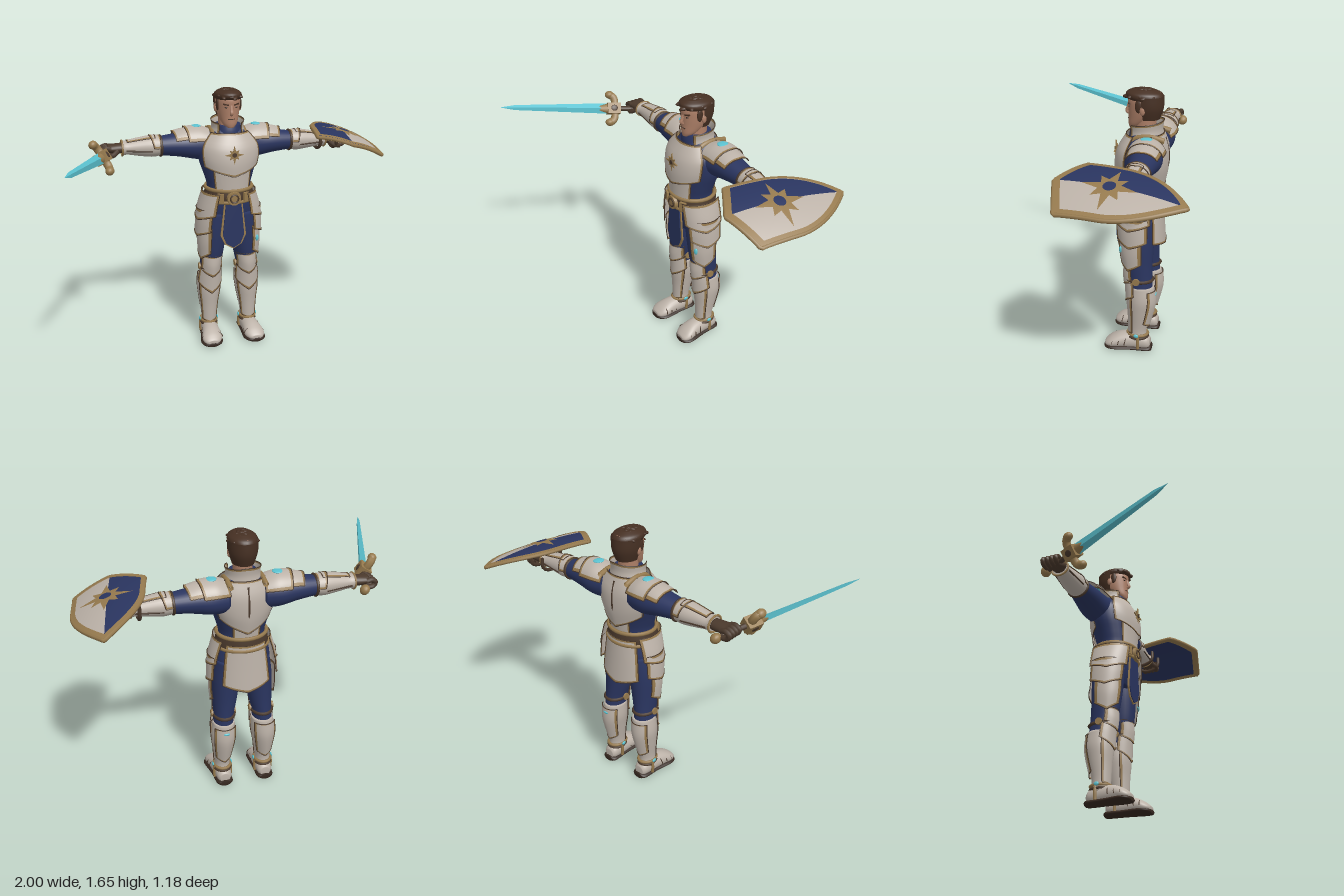
import * as THREE from 'three';

const paint = (name, color) => Object.assign(
  new THREE.MeshStandardMaterial({ color, side: THREE.DoubleSide }), { name });
const M = {
  steel: paint('pale steel', 0xbcb2a8), blue: paint('navy cloth', 0x2a3560),
  gold: paint('old gold', 0x967a4e), leather: paint('brown leather', 0x4a392c),
  skin: paint('skin', 0xae8068), hair: paint('brown hair', 0x463023),
  cyan: paint('cyan glass', 0x5cc2d0), dark: paint('dark sole', 0x362820),
};
const TAU = Math.PI * 2;

function add(parent, name, geo, mat, pos = [0, 0, 0], rot = [0, 0, 0], scale = [1, 1, 1]) {
  const mesh = new THREE.Mesh(geo, mat);
  mesh.name = name;
  mesh.position.set(...pos);
  mesh.rotation.set(...rot);
  mesh.scale.set(...scale);
  parent.add(mesh);
}
function group(parent, name) {
  const g = new THREE.Group();
  g.name = name;
  parent.add(g);
  return g;
}

// Smooth value of the rows [y, cx, cz, rx, rz] at t = 0..1
function sample(rows, t) {
  const f = t * (rows.length - 1), i = Math.min(Math.floor(f), rows.length - 2), u = f - i;
  const r = k => rows[THREE.MathUtils.clamp(i + k, 0, rows.length - 1)];
  const [p, q, v, w] = [r(-1), r(0), r(1), r(2)];
  return q.map((b, j) => b + 0.5 * u * (v[j] - p[j] + u * (2 * p[j] - 5 * b + 4 * v[j] - w[j]
    + u * (3 * (b - v[j]) + w[j] - p[j]))));
}
// Grid surface from a point rule; outermost cells (sized es, et) form a second material group
function gridGeo(point, n, m, wrap, [es, et] = [1 / n, 1 / m]) {
  const pos = [], inner = [], border = [], w = wrap ? n : n + 1;
  const at = (i, c, e) => i === 0 ? 0 : i === c ? 1 : e + (1 - 2 * e) * (i - 1) / (c - 2);
  for (let j = 0; j <= m; j++) for (let i = 0; i < w; i++) pos.push(...point(at(i, n, es), at(j, m, et)));
  for (let j = 0; j < m; j++) for (let i = 0; i < n; i++) {
    const a = j * w + i, b = j * w + (i + 1) % w;
    (i % (n - 1) && j % (m - 1) ? inner : border).push(a, b, a + w, b, b + w, a + w);
  }
  const g = new THREE.BufferGeometry();
  g.setAttribute('position', new THREE.Float32BufferAttribute(pos, 3));
  g.setIndex([...inner, ...border]);
  g.addGroup(0, inner.length, 0);
  g.addGroup(inner.length, border.length, 1);
  g.computeVertexNormals();
  return g;
}
// Closed body of elliptical sections, ends pinched shut
function loft(parent, name, rows, mat, rot) {
  const m = rows.length * 4;
  const point = (s, t) => {
    const k = t === 0 || t === 1 ? 0.001 : 1;
    const [y, cx, cz, rx, rz] = sample(rows, THREE.MathUtils.clamp((t * (m + 2) - 1) / m, 0, 1));
    return [cx + k * rx * Math.sin(s * TAU), y, cz + k * rz * Math.cos(s * TAU)];
  };
  add(parent, name, gridGeo(point, 28, m + 2, true), mat, [0, 0, 0], rot);
}
// Curved armour plate over the arc a0..a1 (0 = front), pointed end, gold border and dark edge
function plate(parent, name, rows, a0, a1, drop = 0, width = .018, mat = M.steel, trim = M.gold) {
  const point = (s, t) => {
    const [y, cx, cz, rx, rz] = sample(rows, t), a = a0 + (a1 - a0) * s;
    return [cx + rx * Math.sin(a), y - drop * t * (1 - Math.abs(2 * s - 1)), cz + rz * Math.cos(a)];
  };
  const last = rows[rows.length - 1];
  const share = [width / ((a1 - a0) * last[3]), width / (Math.abs(rows[0][0] - last[0]) + Math.abs(drop) / 2)];
  add(parent, name, gridGeo(point, 26, 12, false, share), [mat, trim]);
  if (mat === trim) return;
  const edge = [];
  for (const [s0, t0, ds, dt] of [[0, 0, 1, 0], [1, 0, 0, 1], [1, 1, -1, 0], [0, 1, 0, -1]])
    for (let k = 0; k < 12; k++) edge.push(new THREE.Vector3(...point(s0 + ds * k / 12, t0 + dt * k / 12)));
  add(parent, name + 'Edge', new THREE.TubeGeometry(new THREE.CatmullRomCurve3(edge, true), 96, .003, 5, true), M.leather);
}
const band = (parent, name, y, cx, cz, rx, rz, mat, r = 0.009) =>
  add(parent, name, new THREE.TorusGeometry(1, r / rx, 6, 28), mat, [cx, y, cz], [Math.PI / 2, 0, 0], [rx, rz, rx]);
const ball = (parent, name, mat, pos, scale, rot) =>
  add(parent, name, new THREE.SphereGeometry(1, 14, 10), mat, pos, rot, scale);
const tube = (parent, name, pts, r, mat) => add(parent, name, new THREE.TubeGeometry(
  new THREE.CatmullRomCurve3(pts.map(p => new THREE.Vector3(...p))), 14, r, 7), mat);
// Eight-pointed star outline, long points on the axes
const starPoints = R => Array.from({ length: 16 }, (_, i) => {
  const r = i % 2 ? R * 0.4 : i % 4 ? R * 0.7 : R;
  return new THREE.Vector2(r * Math.sin(i * TAU / 16), r * Math.cos(i * TAU / 16));
});
const flat = (pts, depth) => new THREE.ExtrudeGeometry(new THREE.Shape(pts), { depth, bevelEnabled: false });

function buildHead(body) {
  const head = group(body, 'head');
  loft(head, 'neck', [[1.36, 0, -.205, .06, .07], [1.42, 0, -.205, .056, .062], [1.49, 0, -.21, .056, .06]], M.skin);
  loft(head, 'face', [[1.422, 0, -.135, .024, .026], [1.445, 0, -.155, .046, .05], [1.49, 0, -.185, .063, .08],
    [1.54, 0, -.197, .072, .094], [1.59, 0, -.2, .074, .098], [1.63, 0, -.205, .06, .085]], M.skin);
  tube(head, 'nose', [[0, 1.557, -.108], [0, 1.53, -.1], [0, 1.512, -.094], [0, 1.503, -.108]], .011, M.skin);
  add(head, 'mouth', new THREE.BoxGeometry(.042, .005, .008), M.leather, [0, 1.475, -.109]);
  for (const s of [-1, 1]) {
    ball(head, 'eye', M.dark, [s * .029, 1.547, -.114], [.011, .005, .006]);
    add(head, 'brow', new THREE.BoxGeometry(.036, .008, .012), M.hair, [s * .031, 1.564, -.114], [0, s * .3, s * .15]);
    ball(head, 'ear', M.skin, [s * .077, 1.535, -.2], [.01, .026, .016]);
    ball(head, 'sideburn', M.hair, [s * .07, 1.56, -.175], [.01, .04, .02]);
  }
  loft(head, 'hairTop', [[1.59, 0, -.205, .08, .1], [1.608, 0, -.198, .084, .109],
    [1.628, 0, -.192, .076, .1], [1.645, 0, -.188, .045, .065]], M.hair);
  plate(head, 'hairBack', [[1.61, 0, -.205, .086, .104], [1.54, 0, -.208, .082, .1], [1.475, 0, -.21, .062, .076]],
    1.45, TAU - 1.45, 0, .01, M.hair, M.hair);
  // swept tufts
  for (let i = 0; i < 44; i++) {
    const a = i * 2.4, k = Math.sqrt(i / 44);
    ball(head, 'hairTuft', M.hair, [.078 * k * Math.sin(a), 1.643 - .042 * k * k, -.19 + .102 * k * Math.cos(a)],
      [.014, .011, .024], [.2, a * .4, 0]);
  }
}

function buildTorso(body) {
  const t = group(body, 'torso');
  loft(t, 'undersuit', [[1.42, 0, -.21, .075, .08], [1.38, 0, -.215, .13, .1], [1.31, 0, -.205, .185, .135],
    [1.22, 0, -.2, .186, .14], [1.12, 0, -.185, .156, .124], [1.04, 0, -.18, .138, .115],
    [.95, 0, -.185, .158, .12], [.86, 0, -.195, .165, .115], [.79, 0, -.195, .12, .09]], M.blue);
  plate(t, 'abdomenPlate', [[1.22, 0, -.19, .17, .15], [1.12, 0, -.185, .158, .14], [1.03, 0, -.18, .146, .132]], -.8, .8, 0, .011);
  plate(t, 'breastplate', [[1.39, 0, -.205, .13, .11], [1.32, 0, -.2, .19, .155], [1.25, 0, -.195, .198, .168],
    [1.19, 0, -.19, .186, .162]], -1.1, 1.1, .055, .013);
  plate(t, 'backplate', [[1.4, 0, -.215, .13, .1], [1.33, 0, -.205, .19, .14], [1.24, 0, -.2, .19, .145],
    [1.17, 0, -.19, .17, .137]], Math.PI - 1.1, Math.PI + 1.1, .09, .013);
  plate(t, 'lowerBackplate', [[1.15, 0, -.19, .16, .13], [1.03, 0, -.18, .145, .124]], Math.PI - .55, Math.PI + .55, 0, .011);
  tube(t, 'spineRidge', [[0, 1.37, -.322], [0, 1.26, -.346], [0, 1.09, -.32]], .007, M.leather);
  add(t, 'chestStar', flat(starPoints(.058), .007), M.gold, [0, 1.272, -.034]);
  add(t, 'chestStarCentre', new THREE.CylinderGeometry(.014, .014, .005, 16), M.leather, [0, 1.272, -.026], [Math.PI / 2, 0, 0]);
  // collar
  loft(t, 'innerCollar', [[1.36, 0, -.21, .1, .1], [1.4, 0, -.208, .086, .094], [1.43, 0, -.208, .08, .086]], M.blue);
  plate(t, 'collar', [[1.37, 0, -.21, .112, .105], [1.41, 0, -.208, .1, .1], [1.445, 0, -.208, .102, .106]],
    .75, TAU - .75, -.03, .014);
  // belt and buckle
  loft(t, 'belt', [[1.04, 0, -.18, .148, .135], [1.0, 0, -.18, .156, .14], [.965, 0, -.182, .16, .138]], M.leather);
  band(t, 'beltUpperTrim', 1.04, 0, -.18, .148, .135, M.gold, .012);
  band(t, 'beltLowerTrim', .966, 0, -.182, .16, .138, M.gold, .011);
  add(t, 'buckle', new THREE.CylinderGeometry(.042, .046, .02, 24), M.gold, [0, .995, -.038], [Math.PI / 2, 0, 0]);
  add(t, 'buckleRing', new THREE.TorusGeometry(.025, .005, 6, 20), M.leather, [0, .995, -.028]);
  for (const s of [-1, 1])
    add(t, 'beltStud', new THREE.BoxGeometry(.04, .055, .02), M.gold, [s * .08, .997, -.058], [0, s * .4, 0]);
  // hanging cloth and rear skirt
  const cloth = k => [[-.052 * k, .97], [.052 * k, .97], [.075 * k, .75], [.05 * k, .7 - k * .01], [0, .69 - k * .03],
    [-.05 * k, .7 - k * .01], [-.075 * k, .75]].map(p => new THREE.Vector2(...p));
  add(t, 'tabardBorder', flat(cloth(1.1), .008), M.gold, [0, 0, -.064]);
  add(t, 'tabard', flat(cloth(.92), .012), M.blue, [0, .003, -.062]);
  plate(t, 'rearSkirt', [[1.0, 0, -.185, .155, .135], [.86, 0, -.19, .175, .14], [.74, 0, -.19, .19, .15]],
    Math.PI - .85, Math.PI + .85, .04);
}

function buildArm(side, droop) {
  const arm = group(side, 'arm');
  arm.position.set(0, 1.305, -.25);
  arm.rotation.z = -Math.PI / 2 - droop;
  const up = -Math.PI / 2;
  loft(arm, 'sleeve', [[.1, .01, .02, .095, .1], [.2, .005, 0, .09, .095], [.3, 0, 0, .074, .084], [.42, 0, 0, .058, .064]], M.blue);
  plate(arm, 'lowerPauldron', [[.22, 0, 0, .108, .108], [.28, 0, 0, .1, .104], [.325, 0, 0, .088, .098]], up - 1.1, up + 1.1, -.02);
  plate(arm, 'upperPauldron', [[.1, 0, .01, .09, .104], [.17, 0, 0, .114, .114], [.25, 0, 0, .112, .112]], up - 1.25, up + 1.25, -.02);
  tube(arm, 'shoulderStrap', [[-.02, .1, .115], [-.075, .1, .085], [-.092, .1, 0], [-.075, .1, -.085]], .016, M.gold);
  ball(arm, 'shoulderGem', M.cyan, [-.111, .19, 0], [.007, .031, .034]);
  // forearm guard
  loft(arm, 'vambrace', [[.42, 0, 0, .06, .064], [.47, 0, 0, .065, .068], [.55, 0, 0, .054, .058],
    [.62, 0, 0, .042, .05], [.65, 0, 0, .048, .056]], M.steel);
  plate(arm, 'vambraceRidge', [[.45, 0, 0, .069, .071], [.5, 0, 0, .066, .068], [.62, 0, 0, .047, .054]], up - .6, up + .6, 0, .01);
  plate(arm, 'elbowGuard', [[.415, 0, 0, .066, .07], [.46, 0, 0, .07, .073]], up - 1.6, up + 1.6, -.025, .013);
  for (const s of [-1, 1])
    tube(arm, 'vambraceSeam', [[.02, .47, s * .064], [.015, .55, s * .056], [.01, .63, s * .05]], .005, M.leather);
  band(arm, 'elbowStrap', .415, 0, 0, .06, .066, M.leather);
  band(arm, 'wristTrim', .65, 0, 0, .046, .054, M.gold, .006);
  // gloved fist
  loft(arm, 'palm', [[.65, 0, 0, .03, .04], [.69, 0, 0, .03, .045], [.74, -.004, 0, .024, .05]], M.leather);
  for (let i = 0; i < 4; i++) {
    const z = -.042 + i * .028;
    tube(arm, 'finger', [[-.004, .72, z], [-.01, .75, z], [.008, .777, z], [.03, .762, z], [.034, .725, z]], .0155, M.leather);
  }
  tube(arm, 'thumb', [[.01, .68, .04], [.03, .71, .06], [.038, .75, .045]], .015, M.leather);
}

function buildLeg(side) {
  const leg = group(side, 'leg');
  loft(leg, 'trouser', [[.88, .085, -.19, .08, .105], [.75, .098, -.19, .085, .1], [.6, .11, -.195, .074, .09],
    [.5, .12, -.207, .062, .08], [.42, .125, -.215, .062, .078]], M.blue);
  plate(leg, 'cuisse', [[.79, .1, -.185, .102, .108], [.7, .106, -.185, .1, .106], [.62, .11, -.19, .088, .098]], .3, 2.0, .05);
  plate(leg, 'lowerTasset', [[.91, .075, -.185, .132, .128], [.83, .085, -.187, .13, .128], [.77, .09, -.19, .128, .124]], .4, 2.2, .04);
  plate(leg, 'upperTasset', [[1.022, .055, -.182, .114, .143], [.94, .065, -.183, .134, .14], [.88, .07, -.185, .145, .138]], .3, 2.3, .04);
  // lower leg
  loft(leg, 'greave', [[.45, .122, -.22, .066, .078], [.36, .127, -.225, .074, .085], [.27, .13, -.217, .064, .074],
    [.15, .132, -.205, .048, .056], [.08, .134, -.205, .05, .06]], M.steel);
  plate(leg, 'shinPlate', [[.42, .125, -.215, .077, .083], [.34, .128, -.215, .077, .084], [.24, .131, -.21, .062, .07],
    [.13, .133, -.205, .052, .061]], -1.1, 1.1, .015, .011);
  plate(leg, 'calfPlate', [[.43, .125, -.222, .076, .088], [.34, .128, -.224, .077, .09], [.2, .132, -.21, .057, .068]],
    Math.PI - 1, Math.PI + 1, .03, .011);
  plate(leg, 'lowerKneePlate', [[.5, .12, -.205, .07, .09], [.45, .123, -.208, .077, .088], [.4, .125, -.212, .081, .088]], -1.3, 1.3, .07, .014);
  plate(leg, 'kneePlate', [[.59, .112, -.195, .072, .086], [.54, .117, -.2, .07, .096], [.49, .12, -.205, .07, .094]], -1.2, 1.2, .04, .014);
  band(leg, 'kneeStrap', .495, .12, -.207, .063, .08, M.leather, .011);
  for (const s of [-1, 1]) {
    add(leg, 'kneeDisc', new THREE.CylinderGeometry(.022, .022, .012, 16), M.gold, [.12 + s * .071, .5, -.2], [0, 0, Math.PI / 2]);
    tube(leg, 'heelStrap', [[.133 + s * .051, .11, -.215], [.133 + s * .054, .07, -.215], [.133 + s * .051, .025, -.215]], .01, M.gold);
    ball(leg, 'ankleGem', M.cyan, [.133 + s * .059, .118, -.205], [.006, .012, .016]);
  }
  band(leg, 'ankleTrim', .115, .133, -.205, .051, .062, M.gold, .009);
  band(leg, 'ankleStrap', .095, .133, -.205, .051, .062, M.leather, .008);
  // boot, lengthwise along z
  const lay = [Math.PI / 2, 0, 0];
  loft(leg, 'boot', [[-.285, .132, -.05, .03, .03], [-.262, .132, -.056, .046, .048], [-.2, .133, -.06, .052, .058],
    [-.11, .138, -.056, .059, .054], [-.05, .143, -.045, .065, .04], [-.015, .146, -.036, .05, .024],
    [-.002, .147, -.033, .03, .013]], M.steel, lay);
  loft(leg, 'sole', [[-.295, .132, -.017, .034, .017], [-.27, .132, -.018, .053, .018], [-.17, .136, -.018, .058, .018],
    [-.06, .143, -.018, .073, .018], [-.015, .146, -.016, .057, .016], [.003, .147, -.015, .03, .011]], M.dark, lay);
  for (const [z, w, h] of [[-.13, .059, .06], [-.09, .063, .05], [-.052, .066, .041]])
    add(leg, 'bootLame', new THREE.TorusGeometry(1, .05, 5, 20, Math.PI), M.leather, [.14, .045, z], [-.2, 0, 0], [w, h, .06]);
}

// Sword built upward from the pommel, then aimed at its tip
function buildSword(root) {
  const sword = group(root, 'sword');
  const start = new THREE.Vector3(-.67, 1.265, -.31), end = new THREE.Vector3(-.995, 1.382, .58);
  const dir = end.clone().sub(start), L = dir.length();
  sword.position.copy(start);
  sword.quaternion.setFromUnitVectors(new THREE.Vector3(0, 1, 0), dir.normalize());
  sword.rotateY(.22);
  const diamond = (a, b, h) => {
    const g = new THREE.CylinderGeometry(a, b, h, 4).toNonIndexed();
    g.computeVertexNormals();
    return g;
  };
  add(sword, 'blade', diamond(.016, .034, L - .36), M.cyan, [0, .27 + (L - .36) / 2, 0], [0, 0, 0], [.55, 1, 1]);
  add(sword, 'bladeTip', diamond(.0005, .016, .09), M.cyan, [0, L - .045, 0], [0, 0, 0], [.55, 1, 1]);
  add(sword, 'grip', new THREE.CylinderGeometry(.016, .016, .21, 12), M.leather, [0, .11, 0]);
  ball(sword, 'pommel', M.gold, [0, 0, 0], [.028, .032, .032]);
  add(sword, 'guardBlock', new THREE.BoxGeometry(.075, .085, .07), M.gold, [0, .225, 0]);
  add(sword, 'guardCollar', new THREE.CylinderGeometry(.02, .034, .06, 8), M.gold, [0, .29, 0], [0, 0, 0], [.8, 1, 1]);
  for (const s of [-1, 1]) {
    tube(sword, 'guardArm', [[0, .22, 0], [0, .215, s * .045], [0, .225, s * .075], [0, .25, s * .09]], .025, M.gold);
    ball(sword, 'guardEnd', M.gold, [0, .25, s * .09], [.027, .03, .025]);
    ball(sword, 'guardInlay', M.leather, [s * .037, .225, 0], [.005, .022, .02]);
  }
}

// Domed shield: u runs across, v along its length
function buildShield(root) {
  const shield = group(root, 'shield');
  const place = (u, v, lift) => {
    const x = .8 + .986 * u - .164 * v, z = -.23 + .164 * u + .986 * v;
    return [x, 1.368 - .3 * (x - .58) + .04 * (1 - (u / .21) ** 2) - .03 * (v / .365) ** 2 + lift, z];
  };
  const half = new THREE.Path();
  half.moveTo(0, -.36);
  half.bezierCurveTo(.12, -.24, .185, -.11, .196, .02);
  half.lineTo(.204, .262);
  half.lineTo(0, .358);
  const right = half.getSpacedPoints(36), left = right.map(p => new THREE.Vector2(-p.x, p.y));
  const patch = (name, pts, t0, t1, lift, mat, c = [0, 0]) => add(shield, name, gridGeo((s, t) => {
    const p = pts[Math.round(s * (pts.length - 1))], k = t0 + (t1 - t0) * t;
    return place(c[0] + p.x * k, c[1] + p.y * k, lift);
  }, pts.length - 1, 12), mat);
  const ring = [...right, ...left.slice(0, -1).reverse()];
  patch('blueField', left, 0, .92, 0, M.blue);
  patch('paleField', right, 0, .92, 0, M.steel);
  patch('rimFace', ring, .9, 1, .006, M.gold);
  patch('innerFace', ring, 0, .92, -.016, M.blue);
  patch('innerRim', ring, .9, 1, -.018, M.gold);
  add(shield, 'rimEdge', new THREE.TubeGeometry(new THREE.CatmullRomCurve3(
    ring.slice(0, -1).map(p => new THREE.Vector3(...place(p.x, p.y, -.006))), true), 120, .012, 6, true), M.gold);
  const star = starPoints(.15);
  patch('shieldStar', [...star, star[0]], 0, 1, .006, M.gold, [.01, .045]);
  const disc = Array.from({ length: 25 }, (_, i) => new THREE.Vector2(.034 * Math.sin(i * TAU / 24), .034 * Math.cos(i * TAU / 24)));
  patch('starCentre', disc, 0, 1, .01, M.blue, [.01, .045]);
  // arm loops
  for (const x of [.64, .75]) tube(shield, 'armLoop',
    [[x, 1.325, -.325], [x, 1.26, -.32], [x, 1.23, -.25], [x, 1.26, -.18], [x, 1.325, -.175]], .011, M.leather);
}

export function createModel() {
  const root = new THREE.Group();
  root.name = 'armouredKnight';
  const body = group(root, 'body');
  body.position.x = .035;
  buildHead(body);
  buildTorso(body);
  for (const s of [-1, 1]) {
    const side = group(body, s > 0 ? 'leftSide' : 'rightSide');
    side.scale.x = s;
    buildArm(side, s > 0 ? .03 : 0);
    buildLeg(side);
  }
  // inlays on the left leg only
  ball(body, 'thighInlay', M.cyan, [.168, .7, -.098], [.012, .022, .008], [0, .6, 0]);
  ball(body, 'calfInlay', M.cyan, [.125, .4, -.311], [.02, .008, .006]);
  buildSword(root);
  buildShield(root);
  return root;
}
